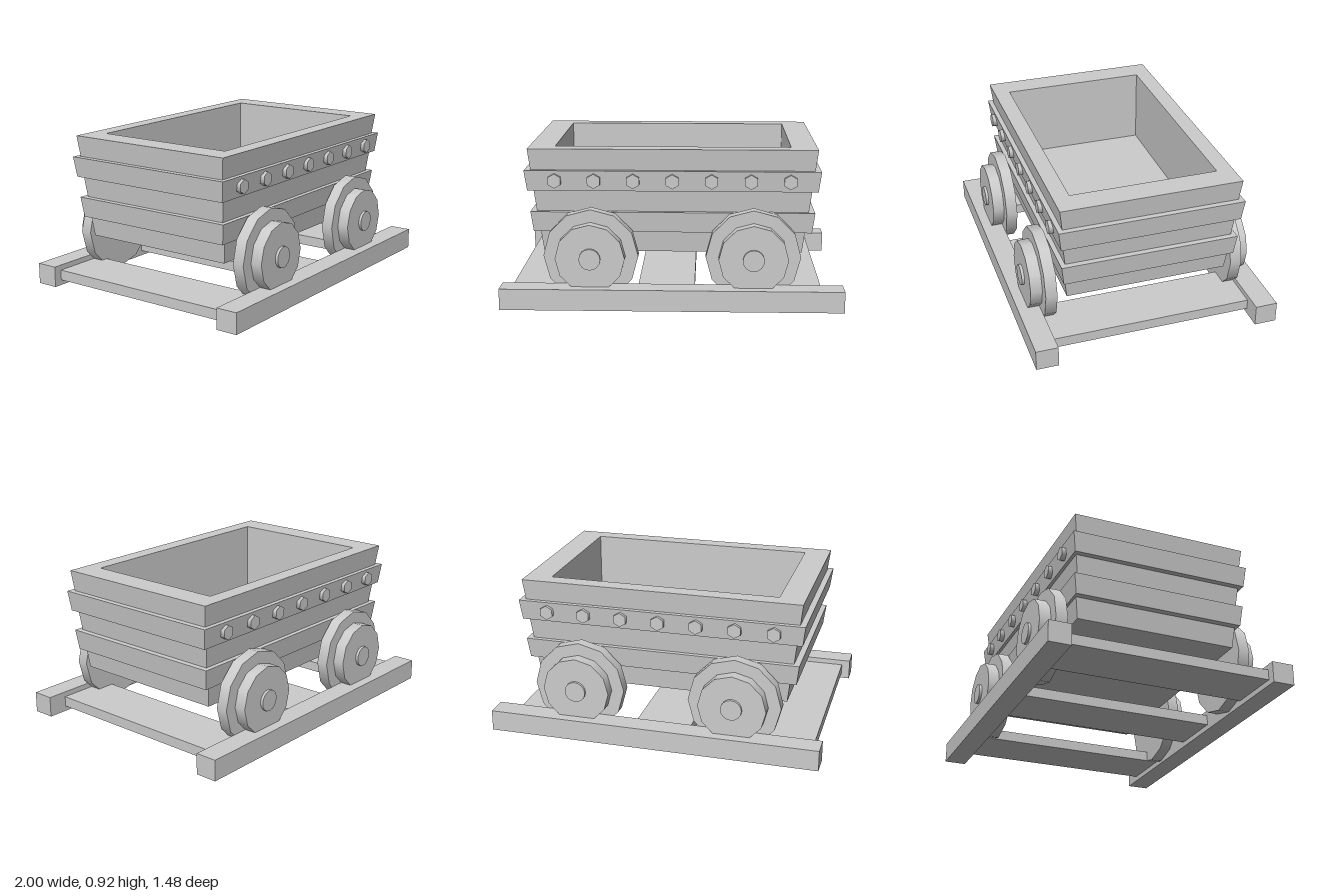
import * as THREE from 'three';

const material = new THREE.MeshStandardMaterial({ color: 0xcccccc });

function addMesh(parent, name, geometry, x = 0, y = 0, z = 0) {
  const mesh = new THREE.Mesh(geometry, material);
  mesh.name = name;
  mesh.position.set(x, y, z);
  parent.add(mesh);
  return mesh;
}

// Skin a closed chain of rectangles [halfX, y, halfZ] with flat faces
function rectangleLoft(sections) {
  const corners = ([x, y, z]) => [[x, y, z], [x, y, -z], [-x, y, -z], [-x, y, z]];
  const positions = [];
  sections.forEach((section, i) => {
    const a = corners(section);
    const b = corners(sections[(i + 1) % sections.length]);
    for (let k = 0; k < 4; k++) {
      const n = (k + 1) % 4;
      positions.push(...a[k], ...a[n], ...b[n], ...a[k], ...b[n], ...b[k]);
    }
  });
  const geometry = new THREE.BufferGeometry();
  geometry.setAttribute('position', new THREE.Float32BufferAttribute(positions, 3));
  geometry.computeVertexNormals();
  return geometry;
}

// Cylinder along z with a corner pointing up
function disc(radius, depth, sides) {
  return new THREE.CylinderGeometry(radius, radius, depth, sides).rotateX(Math.PI / 2);
}

function createTub() {
  const tub = new THREE.Group();
  tub.name = 'tub';
  const innerX = 0.692, innerZ = 0.44, bottomY = 0.292, floorY = 0.455;

  // Flared plank tiers: bottom y, top y, bottom half width, bottom half depth
  const tiers = [
    [bottomY, 0.417, 0.765, 0.487],
    [0.417, 0.539, 0.82, 0.517],
    [0.539, 0.667, 0.8, 0.503],
    [0.667, 0.789, 0.85, 0.537],
    [0.789, 0.915, 0.83, 0.523],
  ];
  const flare = 0.015;
  tiers.forEach(([y0, y1, x, z], i) => {
    addMesh(tub, `plankTier${i + 1}`, rectangleLoft([
      [x, y0, z],
      [x + flare, y1, z + flare],
      [innerX, y1, innerZ],
      [innerX, y0, innerZ],
    ]));
  });

  // Solid floor filling the bottom of the tub
  addMesh(tub, 'floor', new THREE.BoxGeometry(innerX * 2, floorY - bottomY, innerZ * 2),
    0, (floorY + bottomY) / 2, 0);

  // Hexagonal bolts along both long sides
  for (const side of [1, -1]) {
    for (let i = -3; i <= 3; i++) {
      addMesh(tub, 'bolt', disc(0.043, 0.04, 6), i * 0.229, 0.73, side * 0.55);
    }
  }
  return tub;
}

function createWheel(x, side) {
  const wheel = new THREE.Group();
  wheel.name = 'wheel';
  wheel.position.set(x, 0.293, 0);
  addMesh(wheel, 'flange', disc(0.278, 0.07, 12), 0, 0, side * 0.573);
  addMesh(wheel, 'tread', disc(0.203, 0.07, 12), 0, 0, side * 0.643);
  addMesh(wheel, 'hub', disc(0.063, 0.035, 16), 0, 0, side * 0.677);
  return wheel;
}

function createTrack() {
  const track = new THREE.Group();
  track.name = 'track';
  for (const side of [1, -1]) {
    addMesh(track, 'rail', new THREE.BoxGeometry(2, 0.126, 0.133), 0, 0.063, side * 0.673);
  }
  // Evenly spaced sleepers
  for (const i of [-1, 0, 1]) {
    addMesh(track, 'sleeper', new THREE.BoxGeometry(0.335, 0.062, 1.24), i * 0.747 - 0.035, 0.063, 0);
  }
  return track;
}

export function createModel() {
  const model = new THREE.Group();
  model.name = 'mineCart';
  model.add(createTub(), createTrack());
  for (const x of [-0.475, 0.475]) {
    for (const side of [1, -1]) model.add(createWheel(x, side));
  }
  return model;
}
